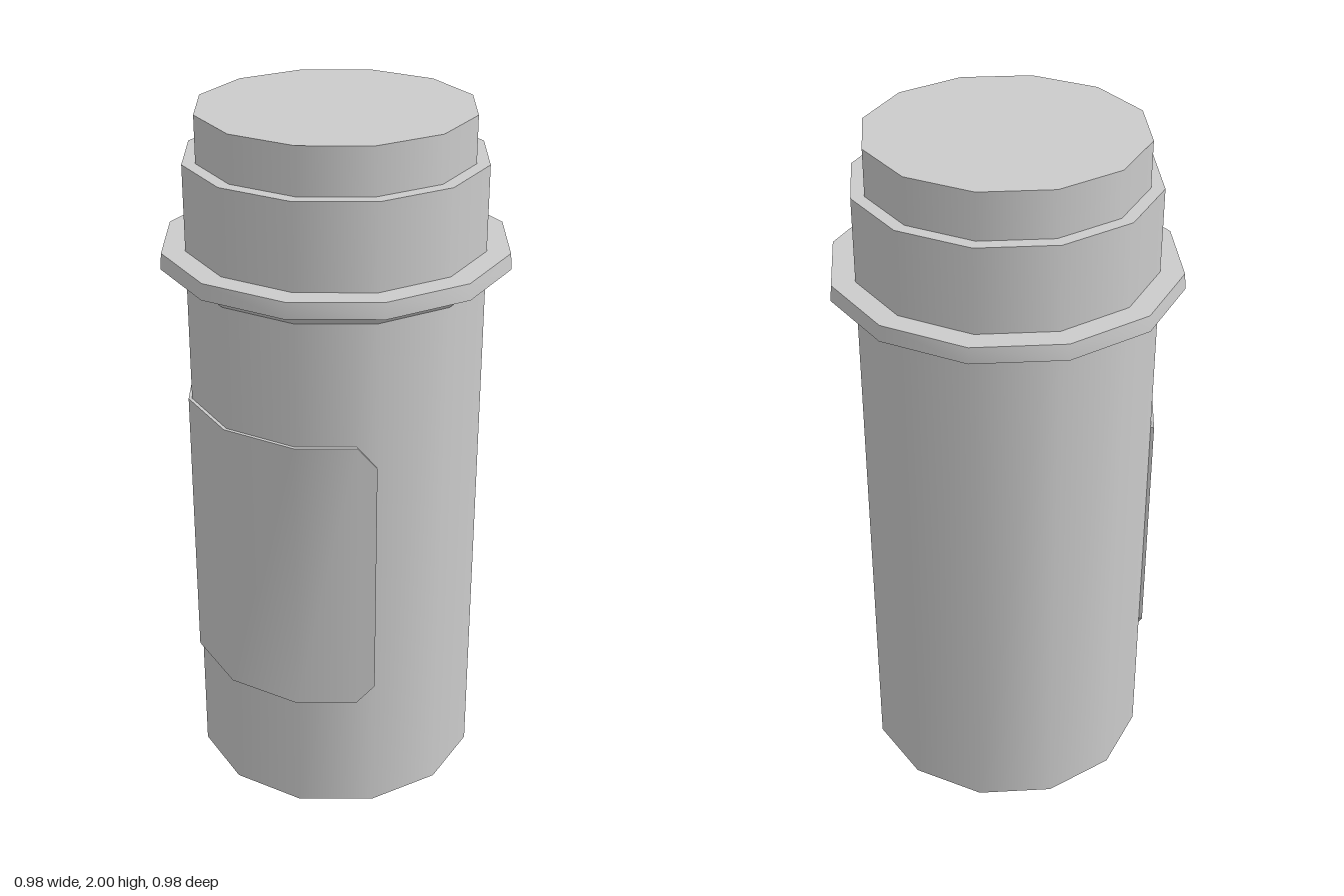
import * as THREE from 'three';
import { toCreasedNormals } from 'three/addons/utils/BufferGeometryUtils.js';

const SIDES = 12;
const material = new THREE.MeshStandardMaterial({ color: 0xcccccc });

function addPart(group, name, geometry) {
  const mesh = new THREE.Mesh(geometry, material);
  mesh.name = name;
  group.add(mesh);
  return mesh;
}

// Upright twelve-sided drum between two heights
function drum(radius, bottom, top) {
  return new THREE.CylinderGeometry(radius, radius, top - bottom, SIDES)
    .translate(0, (bottom + top) / 2, 0);
}

// Thin plate wrapped around the front four facets, with clipped corners
function wrappedPlate(outer, inner, bottom, top, clip) {
  const corner = (deg) => {
    const a = THREE.MathUtils.degToRad(deg);
    return new THREE.Vector2(Math.sin(a), Math.cos(a));
  };
  const columns = [-60, -30, 0, 30, 60].map(corner);
  // extra columns on the outer facets, where the clipped corners begin
  columns.splice(1, 0, columns[0].clone().lerp(columns[1], 0.24));
  columns.splice(5, 0, columns[5].clone().lerp(columns[4], 0.24));
  const last = columns.length - 1;

  const ring = (radius, upper) => columns.map((c, i) => {
    const inset = i === 0 || i === last ? clip : 0;
    return new THREE.Vector3(c.x * radius, upper ? top - inset : bottom + inset, c.y * radius);
  });
  const low = ring(outer, false), high = ring(outer, true);
  const outline = [...low, ...high.slice().reverse()];
  const back = [...ring(inner, false), ...ring(inner, true).reverse()];

  const positions = [];
  const quad = (a, b, c, d) => [a, b, c, a, c, d].forEach((p) => positions.push(p.x, p.y, p.z));
  for (let i = 0; i < last; i++) quad(low[i], low[i + 1], high[i + 1], high[i]);
  // rim back to the body
  outline.forEach((p, i) => {
    const j = (i + 1) % outline.length;
    quad(outline[j], p, back[i], back[j]);
  });

  const geometry = new THREE.BufferGeometry();
  geometry.setAttribute('position', new THREE.Float32BufferAttribute(positions, 3));
  return toCreasedNormals(geometry, 0.6);
}

export function createModel() {
  const group = new THREE.Group();
  group.name = 'canister';

  addPart(group, 'body', drum(0.42, 0, 1.87));
  addPart(group, 'cap', drum(0.383, 1.86, 2));

  // Collar: flared underside, thin outer edge, flat top
  const profile = [[0.42, 1.545], [0.45, 1.585], [0.49, 1.585], [0.486, 1.63], [0.415, 1.63]]
    .map(([r, y]) => new THREE.Vector2(r, y));
  addPart(group, 'collar', toCreasedNormals(new THREE.LatheGeometry(profile, SIDES), 0.6));

  addPart(group, 'frontPlate', wrappedPlate(0.43, 0.418, 0.36, 1.19, 0.06));

  return group;
}
